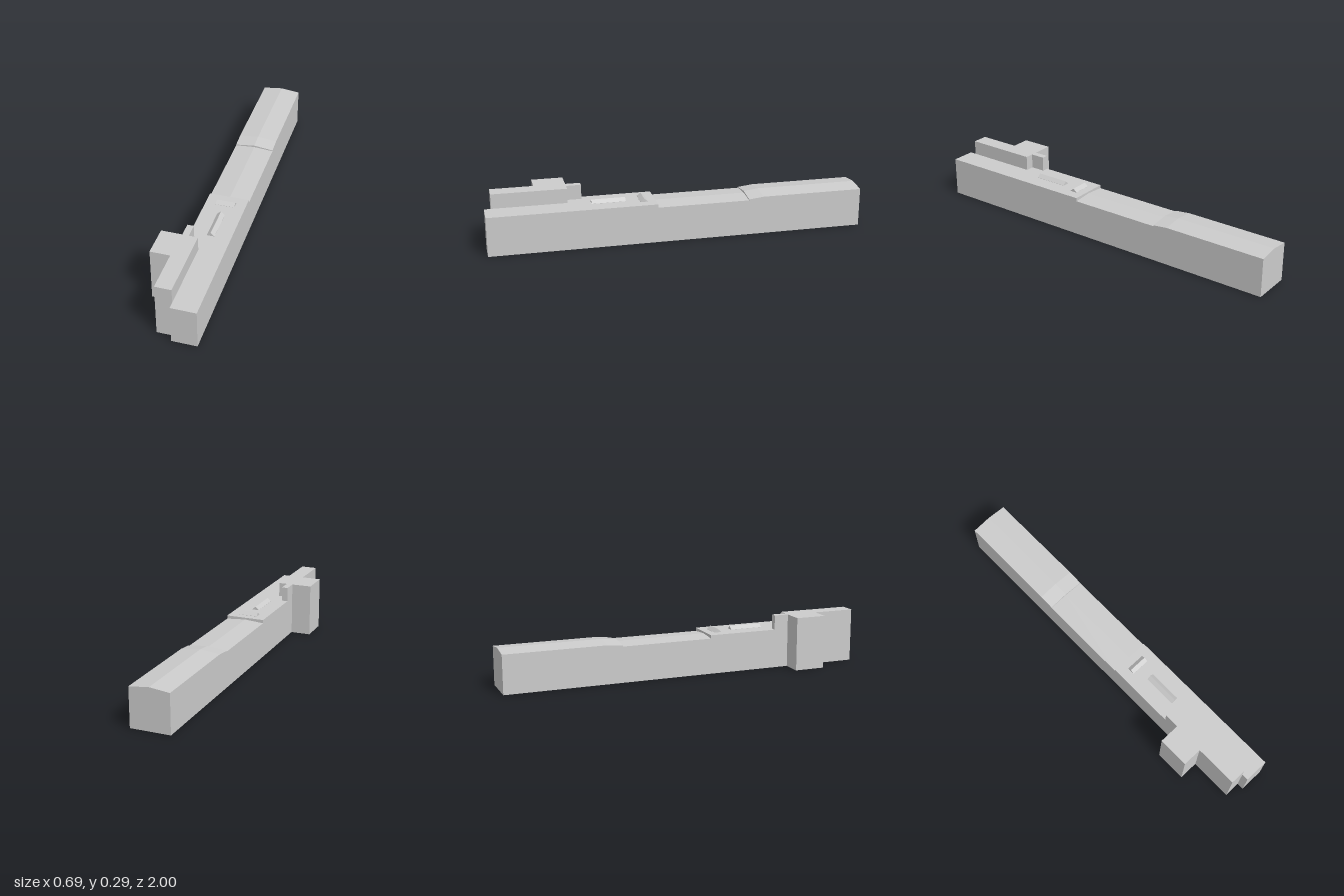
import * as THREE from 'three';

const mat = new THREE.MeshStandardMaterial({ color: 0xcccccc, flatShading: true });

// Upright prism from a plan of [x, z] corners
function prism(name, plan, y0, y1) {
  const shape = new THREE.Shape(plan.map(([x, z]) => new THREE.Vector2(x, -z)));
  const geo = new THREE.ExtrudeGeometry(shape, { depth: y1 - y0, bevelEnabled: false });
  geo.rotateX(-Math.PI / 2).translate(0, y0, 0);
  const mesh = new THREE.Mesh(geo, mat);
  mesh.name = name;
  return mesh;
}

// Gabled body lofted along z: each section is [z, eaves height, ridge height]
function gabled(name, x0, x1, yBase, sections) {
  const xm = (x0 + x1) / 2;
  const rings = sections.map(([z, eave, ridge]) =>
    [[x0, yBase, z], [x1, yBase, z], [x1, eave, z], [xm, ridge, z], [x0, eave, z]]);
  const pos = [];
  const tri = (a, b, c) => pos.push(...a, ...b, ...c);
  for (let i = 0; i < rings.length - 1; i++) {
    const a = rings[i], b = rings[i + 1];
    for (let j = 0; j < 5; j++) {
      const k = (j + 1) % 5;
      tri(a[j], a[k], b[k]);
      tri(a[j], b[k], b[j]);
    }
  }
  const first = rings[0], last = rings[rings.length - 1];
  for (let j = 1; j < 4; j++) {
    tri(first[0], first[j + 1], first[j]);
    tri(last[0], last[j], last[j + 1]);
  }
  const geo = new THREE.BufferGeometry();
  geo.setAttribute('position', new THREE.Float32BufferAttribute(pos, 3));
  geo.computeVertexNormals();
  const mesh = new THREE.Mesh(geo, mat);
  mesh.name = name;
  return mesh;
}

export function createModel() {
  const model = new THREE.Group();
  model.name = 'longBuilding';
  const building = new THREE.Group();
  building.name = 'rotatedBuilding';
  building.rotation.y = -0.2214;
  model.add(building);

  const left = -0.083, right = 0.127, inner = -0.003;

  // Long hall: high rear roof, short ramp and step, lower middle roof
  building.add(gabled('longHall', left, right, 0, [
    [-1.006, 0.206, 0.218],
    [-0.46, 0.206, 0.218],
    [-0.38, 0.197, 0.209],
    [-0.38, 0.192, 0.2],
    [0.112, 0.192, 0.2],
  ]));

  // Flat-roofed front wing, narrowed beside the tower
  building.add(prism('frontWing', [
    [left, 0.112], [left, 0.566], [inner, 0.566], [inner, 0.996], [right, 0.996], [right, 0.112],
  ], 0, 0.21));

  // Taller side block with its projecting bay
  building.add(prism('sideTower', [
    [inner, 0.566], [-0.192, 0.566], [-0.192, 0.732], [-0.088, 0.732], [-0.088, 0.96], [inner, 0.96],
  ], 0, 0.288));

  // Small rooftop extension behind the tower
  building.add(prism('roofExtension', [
    [left, 0.487], [left, 0.566], [-0.049, 0.566], [-0.049, 0.487],
  ], 0.21, 0.288));

  // Gabled skylights, one lengthwise and one crosswise
  building.add(gabled('longSkylight', 0.003, 0.043, 0.208,
    [[0.267, 0.211, 0.228], [0.447, 0.211, 0.228]]));
  const cross = gabled('crossSkylight', -0.02, 0.02, 0.208,
    [[-0.05, 0.211, 0.228], [0.05, 0.211, 0.228]]);
  cross.rotation.y = Math.PI / 2;
  cross.position.set(0.022, 0, 0.175);
  building.add(cross);

  return model;
}
